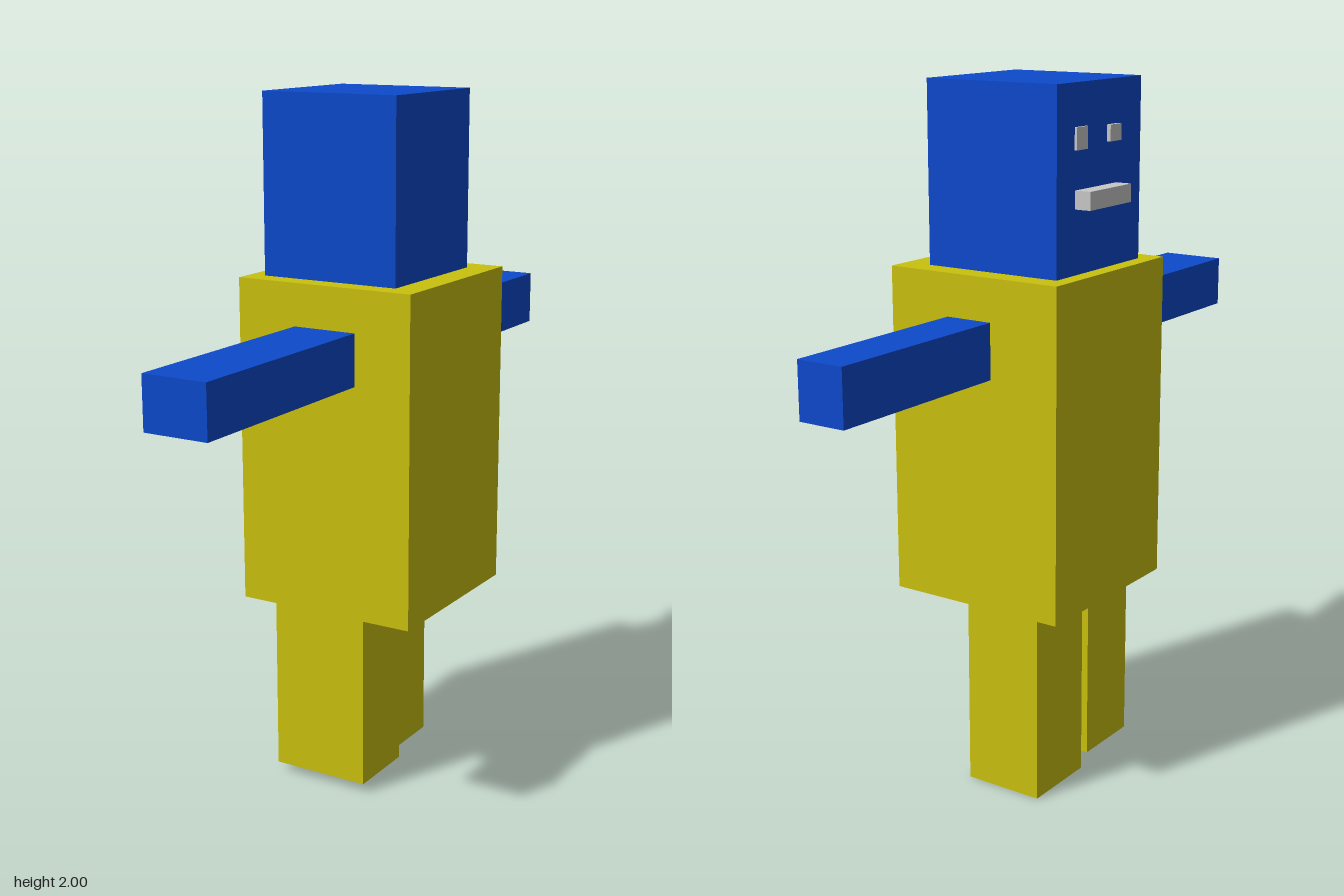
import * as THREE from 'three';

export function createModel() {
  const model = new THREE.Group();
  model.name = 'blockFigure';

  const material = (name, color) => {
    const m = new THREE.MeshStandardMaterial({ color });
    m.name = name;
    return m;
  };
  const blue = material('blue', 0x0d49cb);
  const yellow = material('yellow', 0xc9c00e);
  const grey = material('light grey', 0xc8c8c8);

  // Box given by its extents along each axis
  const block = (name, mat, [x0, x1], [y0, y1], [z0, z1], parent = model) => {
    const mesh = new THREE.Mesh(new THREE.BoxGeometry(x1 - x0, y1 - y0, z1 - z0), mat);
    mesh.position.set((x0 + x1) / 2, (y0 + y1) / 2, (z0 + z1) / 2);
    mesh.name = name;
    parent.add(mesh);
  };

  // Body and legs
  block('torso', yellow, [-0.273, 0.273], [0.55, 1.493], [-0.31, 0.235]);
  block('frontLeg', yellow, [-0.19, 0.105], [0.027, 0.55], [-0.015, 0.197]);
  block('backLeg', yellow, [-0.2, 0.037], [0, 0.55], [-0.292, -0.062]);

  // Arms stretched along z
  block('frontArm', blue, [-0.09, 0.102], [1.224, 1.372], [0.235, 0.913]);
  block('backArm', blue, [-0.06, 0.082], [1.214, 1.372], [-0.913, -0.31]);

  // Head, with the face on the -x side
  const head = new THREE.Group();
  head.name = 'head';
  model.add(head);
  block('skull', blue, [-0.227, 0.193], [1.493, 2], [-0.242, 0.174], head);
  block('mouth', grey, [-0.275, -0.227], [1.67, 1.72], [-0.155, 0.05], head);
  block('eyeBack', grey, [-0.234, -0.227], [1.825, 1.885], [-0.158, -0.105], head);
  block('eyeFront', grey, [-0.239, -0.227], [1.835, 1.88], [0.0, 0.055], head);

  return model;
}
